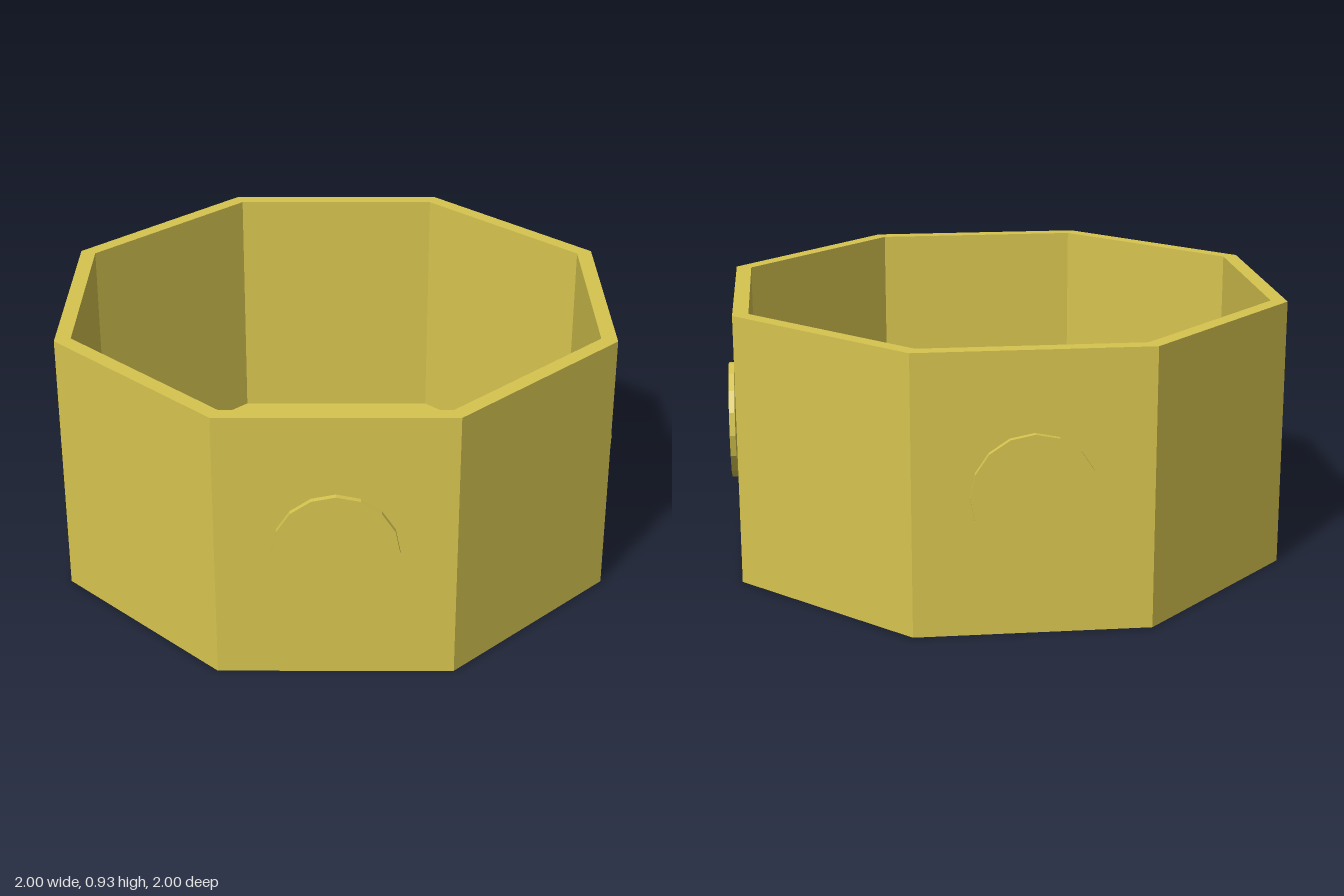
import * as THREE from 'three';

const SIDES = 8;
const HEIGHT = 0.926;
const INNER = 0.943; // corner radius of the cavity
const FLOOR = 0.055;

export function createModel() {
  const model = new THREE.Group();
  model.name = 'octagonalBox';

  const mustard = new THREE.MeshStandardMaterial({ color: 0xd6c44f, flatShading: true });
  mustard.name = 'mustard yellow';

  // Open octagonal box: underside, outer wall, rim, inner wall, floor
  const profile = [
    [0, 0], [1, 0], [1, HEIGHT], [INNER, HEIGHT], [INNER, FLOOR], [0, FLOOR],
  ].map(([r, y]) => new THREE.Vector2(r, y));
  const boxGeometry = new THREE.LatheGeometry(profile, SIDES).toNonIndexed();
  boxGeometry.computeVertexNormals();
  const box = new THREE.Mesh(boxGeometry, mustard);
  box.name = 'box';
  model.add(box);

  // Round plates standing just off every second wall
  const discGeometry = new THREE.CylinderGeometry(0.202, 0.202, 0.02, 16).rotateX(Math.PI / 2);
  for (let i = 0; i < 4; i++) {
    const angle = Math.PI / SIDES + i * Math.PI / 2;
    const disc = new THREE.Mesh(discGeometry, mustard);
    disc.name = `sideDisc${i + 1}`;
    disc.position.set(Math.sin(angle) * 0.944, HEIGHT / 2, Math.cos(angle) * 0.944);
    disc.rotation.y = angle;
    model.add(disc);
  }

  return model;
}
